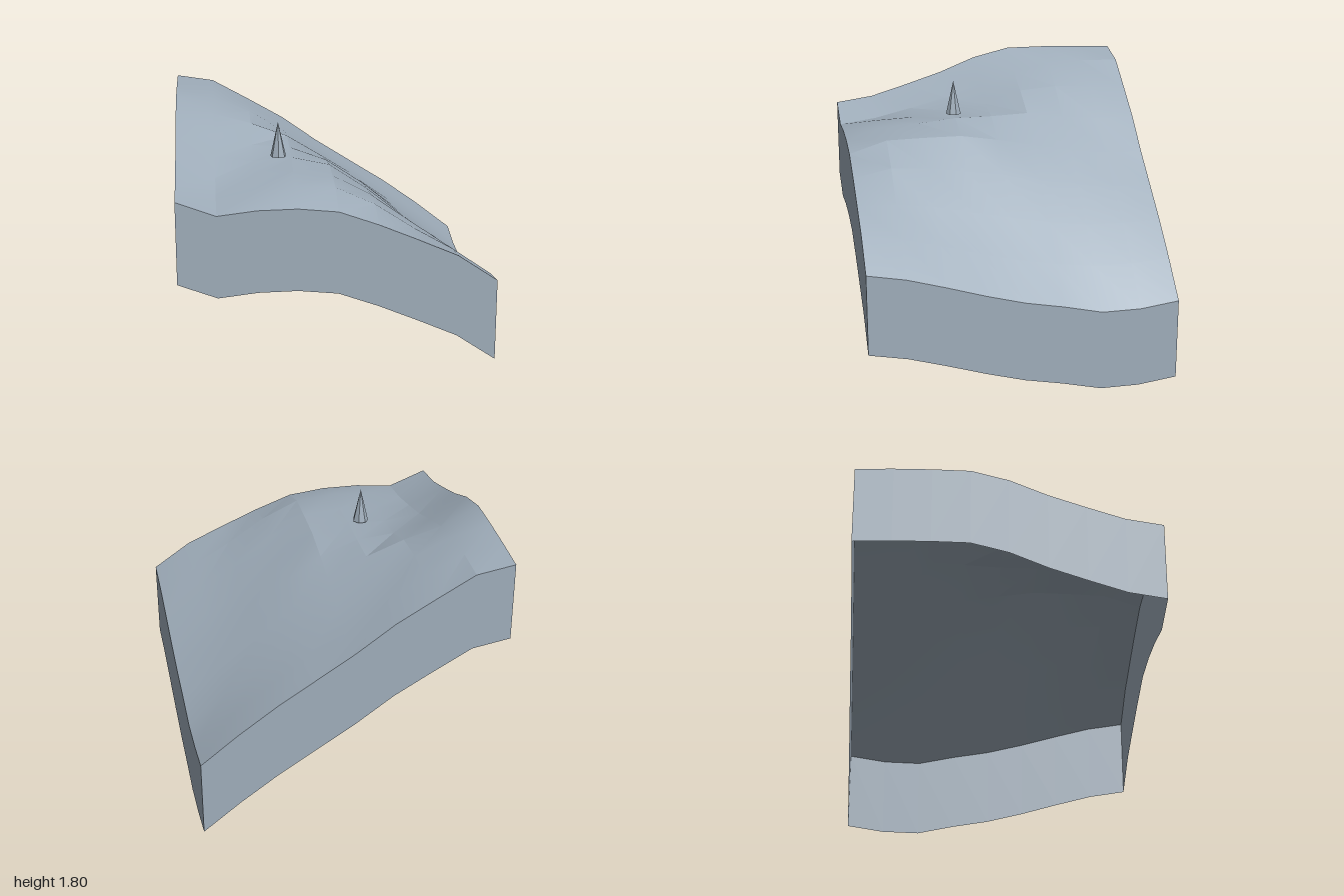
import * as THREE from 'three';
import { toCreasedNormals } from 'three/addons/utils/BufferGeometryUtils.js';

// Ground heights on a 9 x 9 grid: rows run back (z = -1) to front, columns x = -1 to 1
const HEIGHTS = [
  [1.78, 1.74, 1.60, 1.455, 1.275, 1.115, 0.955, 0.775, 0.577],
  [1.793, 1.745, 1.62, 1.455, 1.28, 1.12, 0.945, 0.755, 0.54],
  [1.80, 1.735, 1.63, 1.475, 1.31, 1.14, 0.95, 0.755, 0.535],
  [1.80, 1.68, 1.61, 1.515, 1.36, 1.185, 0.985, 0.785, 0.59],
  [1.74, 1.60, 1.525, 1.505, 1.41, 1.24, 1.03, 0.83, 0.635],
  [1.64, 1.515, 1.485, 1.505, 1.45, 1.28, 1.08, 0.89, 0.70],
  [1.56, 1.45, 1.455, 1.48, 1.45, 1.315, 1.135, 0.96, 0.775],
  [1.485, 1.39, 1.445, 1.465, 1.445, 1.33, 1.165, 1.02, 0.845],
  [1.45, 1.355, 1.385, 1.39, 1.365, 1.275, 1.17, 1.06, 0.89],
];
const N = 8;
const WALL = 0.535;

// Ground point for column i, row j
const point = (i, j) => [-1 + (2 * i) / N, HEIGHTS[j][i], -1 + (2 * j) / N];

function surface(points, index) {
  const g = new THREE.BufferGeometry();
  g.setAttribute('position', new THREE.Float32BufferAttribute(points.flat(), 3));
  g.setIndex(index);
  g.computeVertexNormals();
  return g;
}

function terrainGeometry() {
  const points = [], index = [];
  for (let j = 0; j <= N; j++) {
    for (let i = 0; i <= N; i++) points.push(point(i, j));
  }
  for (let j = 0; j < N; j++) {
    for (let i = 0; i < N; i++) {
      const a = j * (N + 1) + i, b = a + N + 1;
      index.push(a, b, a + 1, b, b + 1, a + 1);
    }
  }
  return toCreasedNormals(surface(points, index), 0.3);
}

// Vertical strip hanging from one border of the ground
function wallGeometry(border) {
  const points = [], index = [];
  for (let k = 0; k <= N; k++) {
    const [x, y, z] = border(k);
    points.push([x, y, z], [x, y - WALL, z]);
    if (k < N) {
      const a = 2 * k;
      index.push(a, a + 1, a + 2, a + 1, a + 3, a + 2);
    }
  }
  return surface(points, index);
}

export function createModel() {
  const group = new THREE.Group();
  group.name = 'terrainTile';
  const stone = new THREE.MeshStandardMaterial({ color: 0x9fadba, side: THREE.DoubleSide });
  stone.name = 'blueGreyStone';
  const flatStone = stone;

  const add = (name, geometry, material = stone) => {
    const mesh = new THREE.Mesh(geometry, material);
    mesh.name = name;
    group.add(mesh);
    return mesh;
  };

  // Rolling ground
  add('ground', terrainGeometry());

  // Open-bottomed skirt, each border running left to right as seen from outside
  add('frontWall', wallGeometry((k) => point(k, N)));
  add('leftWall', wallGeometry((k) => point(N, N - k)));
  add('backWall', wallGeometry((k) => point(N - k, 0)));
  add('rightWall', wallGeometry((k) => point(0, k)));

  // Faceted spike on the hill
  const cone = toCreasedNormals(new THREE.ConeGeometry(0.052, 0.23, 7), 0.1);
  add('spike', cone, flatStone).position.set(-0.335, 1.63, 0.25);

  return group;
}
